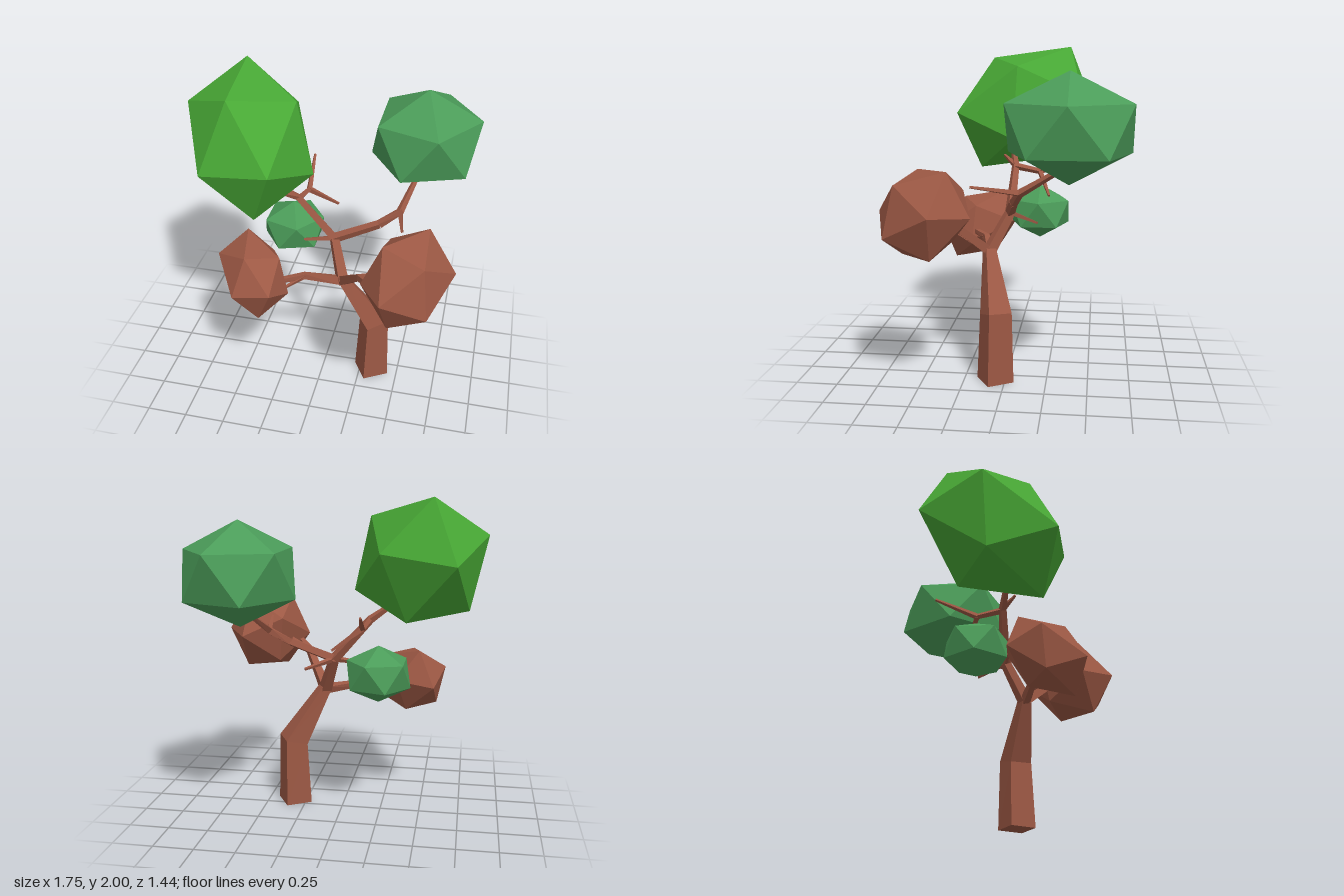
import * as THREE from 'three';
import { ConvexGeometry } from 'three/addons/geometries/ConvexGeometry.js';

const V = (p) => new THREE.Vector3(...p);
const paint = (color) => new THREE.MeshStandardMaterial({ color, flatShading: true });
const bark = paint(0x9c5844);
const rust = paint(0x9c5844);
const leaf = paint(0x48a835);
const teal = paint(0x4b9c59);

// Four-sided tapering limb through [x, y, z, radius] stations
function limb(name, stations, closed = true) {
  const pos = [], index = [], n = 4, last = stations.length - 1;
  const pts = stations.map((s) => V(s));
  stations.forEach((s, i) => {
    const dir = pts[Math.min(i + 1, last)].clone().sub(pts[Math.max(i - 1, 0)]).normalize();
    if (s[1] === 0) dir.set(0, 1, 0);
    const turn = new THREE.Quaternion().setFromUnitVectors(new THREE.Vector3(0, 1, 0), dir);
    for (let k = 0; k < n; k++) {
      const a = 0.255 + (k / n) * Math.PI * 2;
      const c = new THREE.Vector3(Math.cos(a), 0, Math.sin(a)).multiplyScalar(s[3]);
      pos.push(...c.applyQuaternion(turn).add(pts[i]).toArray());
      if (i < last) {
        const p = i * n + k, q = i * n + ((k + 1) % n);
        index.push(p, p + n, q, q, p + n, q + n);
      }
    }
  });
  if (closed) {
    const t = last * n;
    index.push(0, 1, 2, 0, 2, 3, t, t + 2, t + 1, t, t + 3, t + 2);
  }
  const g = new THREE.BufferGeometry();
  g.setAttribute('position', new THREE.Float32BufferAttribute(pos, 3));
  g.setIndex(index);
  const flat = g.toNonIndexed();
  flat.computeVertexNormals();
  const mesh = new THREE.Mesh(flat, bark);
  mesh.name = name;
  return mesh;
}

// Twenty-sided clump: six corners about a centre, each mirrored through it
function clump(name, material, centre, corners) {
  const pts = corners.flatMap((c) => [V(c), V(c).negate()]);
  const mesh = new THREE.Mesh(new ConvexGeometry(pts), material);
  mesh.position.set(...centre);
  mesh.name = name;
  return mesh;
}

// Corners of an upright clump: the tip and the upper ring of five
function upright(radius, height, ringHeight) {
  const out = [[0, height, 0]];
  for (let i = 0; i < 5; i++) {
    const a = (i / 5) * Math.PI * 2;
    out.push([radius * Math.cos(a), ringHeight, radius * Math.sin(a)]);
  }
  return out;
}

export function createModel() {
  const tree = new THREE.Group();
  tree.name = 'tree';

  // Trunk with its elbow
  tree.add(limb('trunk', [
    [0.325, 0, 0.06, 0.119], [0.33, 0.425, 0.055, 0.103], [0.13, 0.77, 0.12, 0.045],
  ]));

  // Main branches
  const fork = [0.13, 0.76, 0.12];
  const crown = [0.05, 0.99, 0.0];
  const branches = {
    leftBackBranchLow: [[...fork, 0.035], [-0.1, 0.795, 0.17, 0.025], [-0.3, 0.81, 0.31, 0.018]],
    frontBranch: [[...fork, 0.04], [0.28, 0.97, 0.34, 0.028], [0.38, 1.02, 0.48, 0.02]],
    centreBranch: [[...fork, 0.045], [...crown, 0.034]],
    upperRightBranch: [[...crown, 0.032], [0.32, 1.1, -0.05, 0.027]],
    upperLeftBranch: [[...crown, 0.034], [-0.18, 1.25, -0.01, 0.026], [-0.32, 1.35, 0.02, 0.016]],
    crownBranch: [[0.32, 1.1, -0.05, 0.027], [0.44, 1.18, -0.1, 0.025], [0.51, 1.32, -0.32, 0.016]],
    rearBranch: [[-0.17, 1.25, -0.01, 0.022], [-0.15, 1.22, -0.17, 0.018]],
  };
  for (const [name, stations] of Object.entries(branches)) tree.add(limb(name, stations));

  // Thin twigs: start, end
  const twigs = [
    [[-0.1, 0.795, 0.17], [-0.22, 0.76, 0.2]],
    [[-0.1, 0.795, 0.17], [-0.2, 0.76, 0.27]],
    [[0.28, 0.97, 0.34], [0.42, 1.05, 0.36]],
    [crown, [-0.14, 0.965, 0.02]],
    [crown, [0.2, 0.96, -0.18]],
    [[0.44, 1.18, -0.1], [0.49, 1.22, 0.18]],
    [[-0.15, 1.22, -0.17], [-0.175, 1.33, -0.43]],
    [[-0.15, 1.22, -0.17], [0.025, 1.095, -0.24]],
    [[-0.18, 1.25, -0.01], [-0.25, 1.31, 0.07]],
  ];
  for (const [a, b] of twigs) tree.add(limb('twig', [[...a, 0.02], [...b, 0.009]]));

  // Foliage
  tree.add(clump('largeFoliage', leaf, [-0.48, 1.605, -0.05], [
    [-0.09, 0.395, -0.29], [-0.06, 0.325, 0.22], [0.3, 0.275, 0.03],
    [0.4, -0.175, 0.05], [-0.2, -0.085, 0.38], [0.23, -0.025, 0.43],
  ]));
  tree.add(clump('rightFoliage', teal, [0.54, 1.56, -0.38], upright(0.345, 0.31, 0.14)
    .map(([x, y, z]) => [x * 0.965, y, z * 1.06])));
  tree.add(clump('smallFoliage', teal, [-0.25, 0.945, -0.165], upright(0.195, 0.175, 0.08)));
  tree.add(clump('leftRustFoliage', rust, [-0.41, 0.82, 0.25], [
    [-0.07, 0.22, -0.16], [-0.015, 0.18, 0.11], [0.175, 0.15, 0.01],
    [0.23, -0.095, 0.03], [-0.07, -0.035, 0.225], [0.165, 0.005, 0.225],
  ]));
  tree.add(clump('frontRustFoliage', rust, [0.57, 1.075, 0.43], [
    [-0.145, 0.235, 0.06], [0.09, 0.255, -0.15], [0.26, 0.025, -0.075],
    [-0.12, -0.005, 0.285], [0.135, -0.12, 0.205], [0.1, 0.177, 0.145],
  ]));
  return tree;
}
